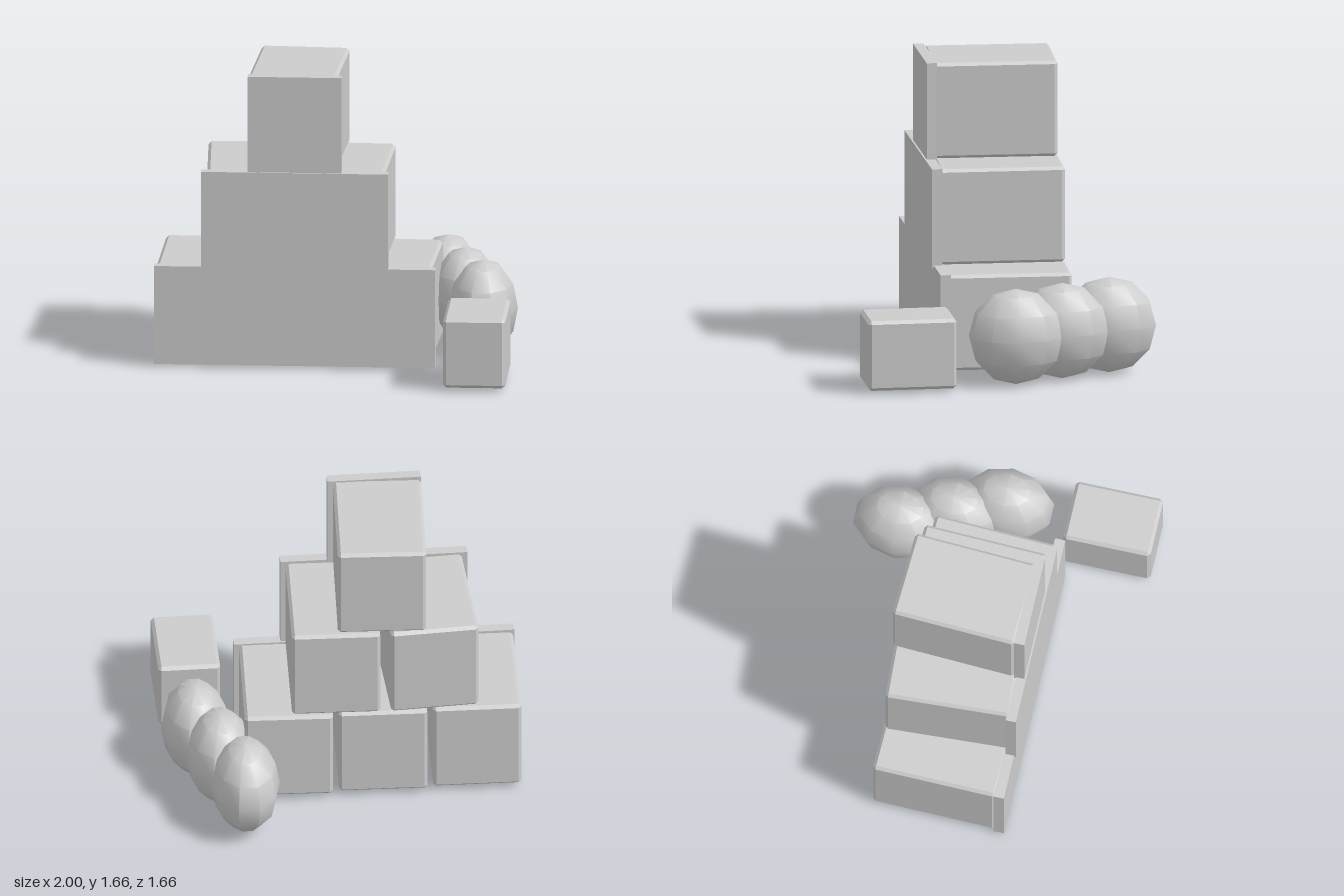
import * as THREE from 'three';
import { toCreasedNormals } from 'three/addons/utils/BufferGeometryUtils.js';
import { ConvexGeometry } from 'three/addons/geometries/ConvexGeometry.js';

// Box with every edge cut at 45 degrees
function chamferBox(w, h, d, b) {
  const pts = [];
  for (const x of [-1, 1]) for (const y of [-1, 1]) for (const z of [-1, 1]) {
    const X = w / 2, Y = h / 2, Z = d / 2;
    pts.push(
      new THREE.Vector3(x * X, y * (Y - b), z * (Z - b)),
      new THREE.Vector3(x * (X - b), y * Y, z * (Z - b)),
      new THREE.Vector3(x * (X - b), y * (Y - b), z * Z));
  }
  return new ConvexGeometry(pts);
}

export function createModel() {
  const model = new THREE.Group();
  model.name = 'stackedCratesAndSacks';
  const grey = new THREE.MeshStandardMaterial({ color: 0xcccccc });
  grey.name = 'plain grey';

  const add = (parent, name, geometry, x, y, z, turn = 0) => {
    const mesh = new THREE.Mesh(geometry, grey);
    mesh.name = name;
    mesh.position.set(x, y, z);
    mesh.rotation.y = turn;
    parent.add(mesh);
  };

  // Crates: slightly turned bodies behind aligned front panels
  const body = chamferBox(0.49, 0.54, 0.7, 0.017);
  const crates = [
    // x, y, turn, panel front z
    [-0.74, 0.3, -0.022, 0.365],
    [-0.22, 0.3, -0.03, 0.365],
    [0.3, 0.3, -0.042, 0.365],
    [-0.48, 0.845, 0.05, 0.375],
    [0.04, 0.845, -0.035, 0.375],
    [-0.22, 1.39, -0.05, 0.365],
  ];
  for (const [x, y, turn, front] of crates) {
    const crate = new THREE.Group();
    crate.name = 'crate';
    add(crate, 'crateBody', body, x, y, -0.03, turn);
    add(crate, 'crateFrontPanel', new THREE.BoxGeometry(0.52, 0.56, 0.058), x, y, front - 0.029);
    model.add(crate);
  }

  // Small loose box in front
  add(model, 'smallBox', chamferBox(0.345, 0.395, 0.495, 0.018), 0.804, 0.223, 0.583);

  // Row of low-poly sacks, each an upright ellipsoid
  const sack = toCreasedNormals(
    new THREE.SphereGeometry(1, 10, 6).scale(0.192, 0.27, 0.268), 0.6);
  for (const [x, z] of [[0.804, -0.02], [0.69, -0.295], [0.575, -0.575]]) {
    add(model, 'sack', sack, x, 0.275, z);
  }

  // Stand on the ground
  const box = new THREE.Box3().setFromObject(model);
  for (const child of model.children) child.position.y -= box.min.y;
  return model;
}
